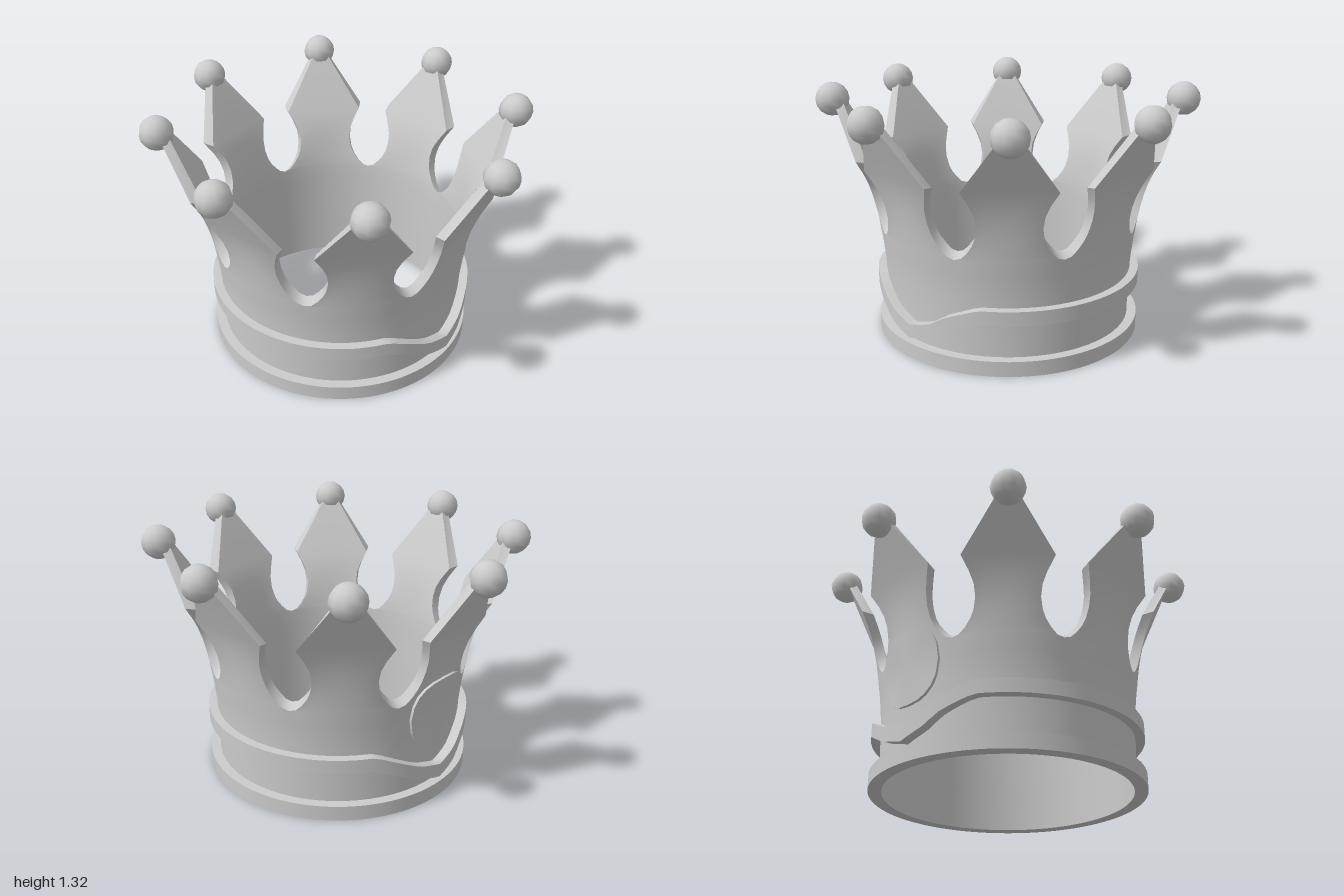
import * as THREE from 'three';
import { mergeGeometries, toCreasedNormals } from 'three/addons/utils/BufferGeometryUtils.js';

const SPIKES = 8;
const rad = THREE.MathUtils.degToRad;

// Wall rows: height, outer radius, inner radius, half angle of one sector, inner lift
const ROWS = [
  [0, 0.655, 0.638, 22.5, 0],
  [0.2, 0.656, 0.638, 22.5, 0],
  [0.38, 0.662, 0.639, 22.5, 0.01],
  [0.5, 0.674, 0.641, 22.5, 0.02],
  [0.58, 0.686, 0.643, 22.5, 0.03],
  [0.59, 0.687, 0.644, 19.6, 0.03],
  [0.62, 0.691, 0.647, 17.0, 0.03],
  [0.66, 0.697, 0.652, 14.7, 0.025],
  [0.7, 0.703, 0.657, 13.3, 0.02],
  [0.76, 0.714, 0.666, 12.4, 0.015],
  [0.82, 0.728, 0.678, 12.7, 0.01],
  [0.88, 0.745, 0.692, 14.1, 0],
  [0.95, 0.771, 0.714, 16.3, -0.01],
  [1.22, 0.898, 0.85, 3.0, 0],
];
const NOTCH_ROW = 4;

// Linear lookup in a table of [key, value, ...] rows
function lookup(table, key, column = 1) {
  if (key <= table[0][0]) return table[0][column];
  for (let i = 1; i < table.length; i++) {
    const a = table[i - 1], b = table[i];
    if (key <= b[0]) return THREE.MathUtils.mapLinear(key, a[0], b[0], a[column], b[column]);
  }
  return table[table.length - 1][column];
}

// One eighth of the wall: round below, turning into a flat flared spike above
function sectorGeometry() {
  const COLS = 12, pos = [];
  const point = (j, i, inner) => {
    const [y, rOut, rIn, half, lift] = ROWS[j];
    const a = rad(half) * (2 * i / COLS - 1);
    const flat = THREE.MathUtils.smoothstep(y, 0.6, 0.95);
    const r = (inner ? rIn : rOut) * (1 - flat + flat / Math.cos(a));
    return [r * Math.sin(a), y + (inner ? lift : 0), r * Math.cos(a)];
  };
  const quad = (a, b, c, d) => pos.push(...a, ...b, ...c, ...a, ...c, ...d);
  const last = ROWS.length - 1;
  for (let j = 0; j < last; j++) {
    for (let i = 0; i < COLS; i++) {
      quad(point(j, i), point(j, i + 1), point(j + 1, i + 1), point(j + 1, i));
      quad(point(j, i + 1, true), point(j, i, true), point(j + 1, i, true), point(j + 1, i + 1, true));
    }
    // cut edges of the notch and the spike
    if (j >= NOTCH_ROW) {
      quad(point(j, COLS), point(j, COLS, true), point(j + 1, COLS, true), point(j + 1, COLS));
      quad(point(j, 0, true), point(j, 0), point(j + 1, 0), point(j + 1, 0, true));
    }
  }
  for (let i = 0; i < COLS; i++) {
    quad(point(last, i), point(last, i + 1), point(last, i + 1, true), point(last, i, true));
  }
  const g = new THREE.BufferGeometry();
  g.setAttribute('position', new THREE.Float32BufferAttribute(pos, 3));
  return g;
}

// Ring with a rectangular section
function bandGeometry(rIn, rOut, y0, y1) {
  const section = [[rIn, y0], [rOut, y0], [rOut, y1], [rIn, y1], [rIn, y0]];
  return new THREE.LatheGeometry(section.map(([r, y]) => new THREE.Vector2(r, y)), 96);
}

// Moves every vertex of a geometry by a rule
function deform(geometry, rule) {
  const p = geometry.attributes.position, v = new THREE.Vector3();
  for (let i = 0; i < p.count; i++) {
    rule(v.fromBufferAttribute(p, i));
    p.setXYZ(i, v.x, v.y, v.z);
  }
  return geometry;
}

export function createModel() {
  const crown = new THREE.Group();
  crown.name = 'crown';
  const material = new THREE.MeshStandardMaterial({ color: 0xcccccc });
  const add = (name, geometry) => {
    const mesh = new THREE.Mesh(geometry, material);
    mesh.name = name;
    crown.add(mesh);
    return mesh;
  };

  // Wall with eight spikes
  const sector = sectorGeometry();
  const sectors = [];
  for (let k = 0; k < SPIKES; k++) sectors.push(sector.clone().rotateY(k * 2 * Math.PI / SPIKES));
  add('wall', toCreasedNormals(mergeGeometries(sectors), 0.5));

  // Balls on the spike tips
  const ballGeometry = new THREE.SphereGeometry(0.088, 10, 8);
  for (let k = 0; k < SPIKES; k++) {
    const a = k * 2 * Math.PI / SPIKES;
    const ball = add('tipBall', ballGeometry);
    ball.position.set(0.912 * Math.sin(a), 1.232, 0.912 * Math.cos(a));
    ball.rotation.y = a;
  }

  // Base rim
  add('baseRim', toCreasedNormals(bandGeometry(0.638, 0.706, 0, 0.08), 0.6));

  // Wavy band, dipping at front and back
  const DIP = [[-0.38, 0], [-0.15, 0.115], [0, 0.158], [0.13, 0.122], [0.23, 0.06], [0.38, 0]];
  const wavy = deform(bandGeometry(0.645, 0.706, 0.267, 0.342), (v) => {
    const r = Math.hypot(v.x, v.z);
    v.y -= lookup(DIP, (v.z >= 0 ? v.x : -v.x) * 0.706 / r);
  });
  add('wavyBand', toCreasedNormals(wavy, 0.6));

  // Rounded plate wrapped onto the back of the wall
  const plate = new THREE.CylinderGeometry(1, 1, 1, 20, 1).rotateX(-Math.PI / 2);
  const soften = (t) => Math.sign(t) * Math.abs(t) ** 0.75;
  deform(plate, (v) => {
    const y = 0.49 + 0.19 * soften(v.y);
    const a = 0.29 * soften(v.x) * (v.y < 0 ? 1 + 0.15 * v.y : 1);
    const r = lookup(ROWS, y) + (v.z < 0 ? 0.016 : -0.015);
    v.set(r * Math.sin(a), y, -r * Math.cos(a));
  });
  add('backPlate', toCreasedNormals(plate, 0.5));

  return crown;
}
